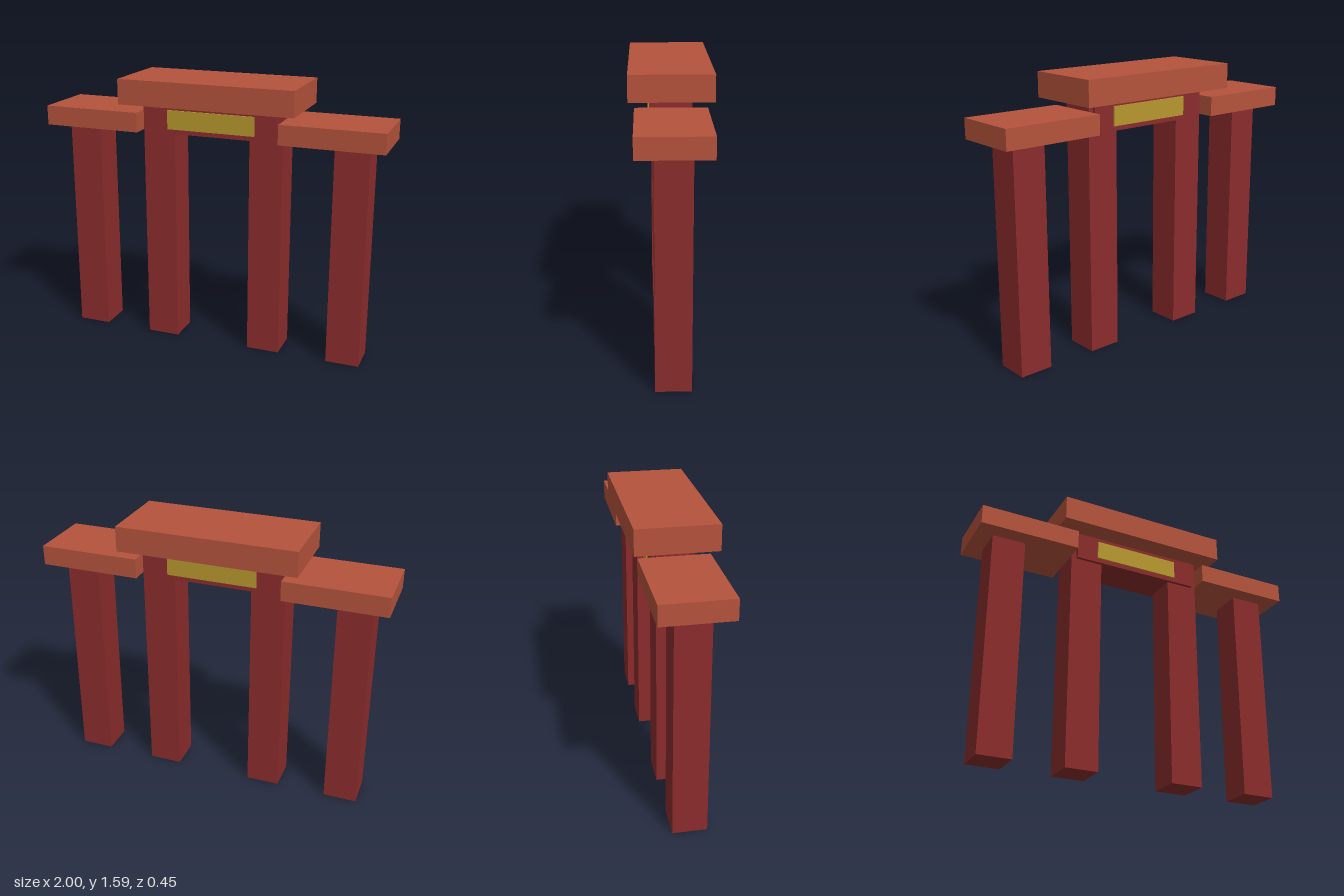
import * as THREE from 'three';

const paint = (color) => new THREE.MeshStandardMaterial({ color, flatShading: true });

export function createModel() {
  const gate = new THREE.Group();
  gate.name = 'gateway';
  const red = paint(0x8b2c2c);
  const tile = paint(0xb5533c);
  const gold = paint(0xb8982f);

  // Box given by its x range, y range and half depth
  const box = (name, material, [x0, x1], [y0, y1], halfDepth) => {
    const mesh = new THREE.Mesh(new THREE.BoxGeometry(x1 - x0, y1 - y0, 2 * halfDepth), material);
    mesh.position.set((x0 + x1) / 2, (y0 + y1) / 2, 0);
    mesh.name = name;
    gate.add(mesh);
  };

  // Pillars and side roofs, mirrored left and right
  for (const [side, s] of [['left', 1], ['right', -1]]) {
    const span = (a, b) => (s > 0 ? [a, b] : [-b, -a]);
    box(`${side}OuterPillar`, red, span(0.708, 0.902), [0, 1.285], 0.096);
    box(`${side}InnerPillar`, red, span(0.226, 0.419), [0, 1.446], 0.096);
    box(`${side}SideRoof`, tile, span(0.419, 1), [1.285, 1.398], 0.193);
  }

  // Central beam, with a plaque showing on both faces
  box('centralBeam', red, [-0.388, 0.388], [1.275, 1.437], 0.114);
  box('plaque', gold, [-0.26, 0.26], [1.302, 1.412], 0.122);

  // Raised central roof
  box('centralRoof', tile, [-0.515, 0.515], [1.446, 1.59], 0.225);

  return gate;
}
